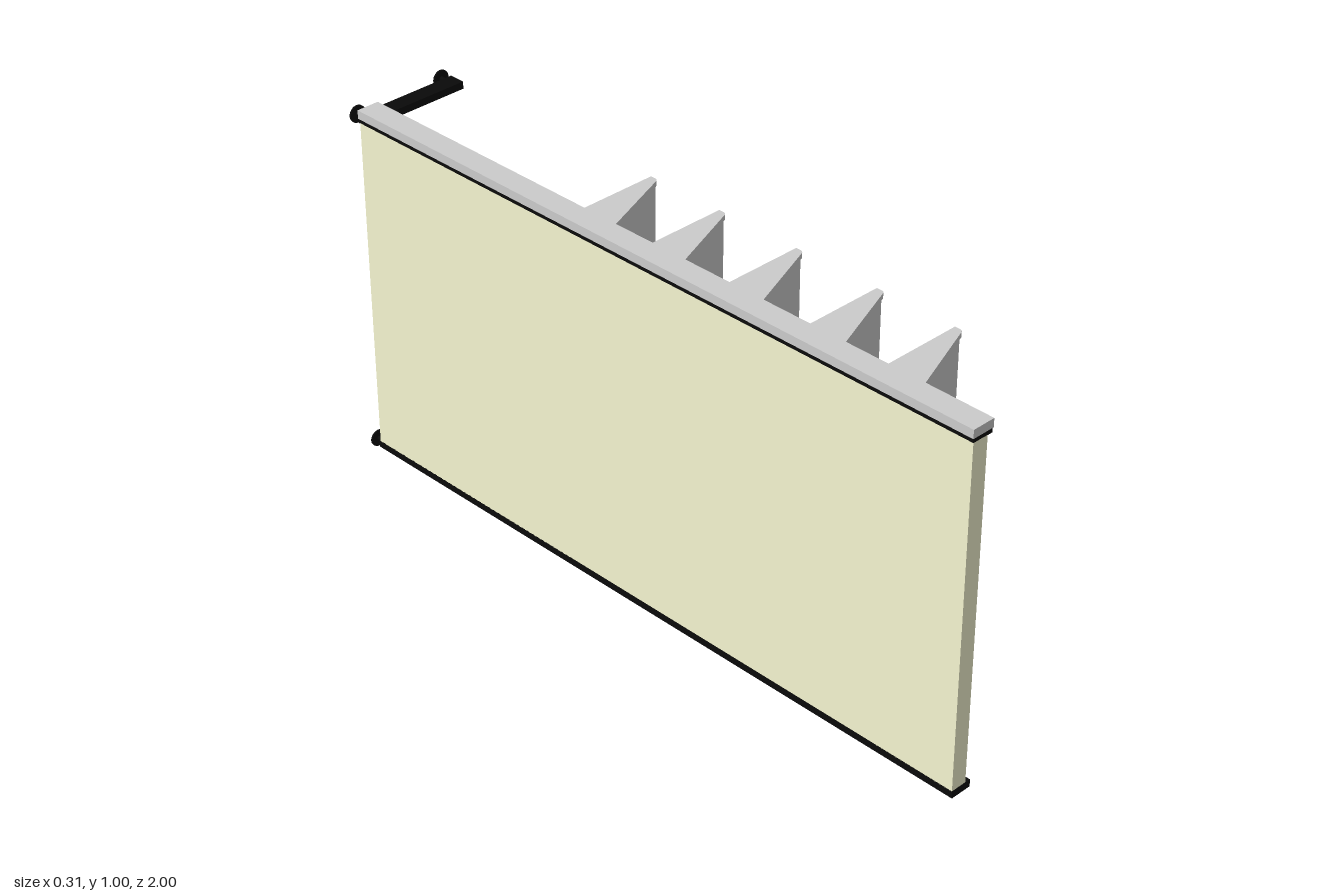
import * as THREE from 'three';

const grey = new THREE.MeshStandardMaterial({ color: 0xcccccc });
const black = new THREE.MeshStandardMaterial({ color: 0x0a0a0a });
const cream = new THREE.MeshStandardMaterial({ color: 0xf5f5d0 });

// Box given by its minimum and maximum corners
function box(name, material, [x0, y0, z0], [x1, y1, z1]) {
  const mesh = new THREE.Mesh(new THREE.BoxGeometry(x1 - x0, y1 - y0, z1 - z0), material);
  mesh.position.set((x0 + x1) / 2, (y0 + y1) / 2, (z0 + z1) / 2);
  mesh.name = name;
  return mesh;
}

// Cylinder lying along z between two depths
function rod(name, radius, x, y, z0, z1) {
  const geometry = new THREE.CylinderGeometry(radius, radius, z1 - z0, 24);
  geometry.rotateX(Math.PI / 2);
  const mesh = new THREE.Mesh(geometry, black);
  mesh.position.set(x, y, (z0 + z1) / 2);
  mesh.name = name;
  return mesh;
}

// Tapered bracket plate with a rounded tip, laid flat and reaching out along +x
function bracketGeometry() {
  const shape = new THREE.Shape();
  shape.moveTo(-0.09, 0);
  shape.lineTo(0.148, 0);
  shape.lineTo(0.148, -0.016);
  shape.quadraticCurveTo(0.147, -0.023, 0.138, -0.026);
  shape.lineTo(-0.09, -0.115);
  shape.closePath();
  const geometry = new THREE.ExtrudeGeometry(shape, { depth: 0.014, bevelEnabled: false, curveSegments: 5 });
  return geometry.rotateX(-Math.PI / 2);
}

// Upright shelf divider held between two brackets
function createDivider(z, bracket) {
  const divider = new THREE.Group();
  divider.name = 'divider';
  divider.add(box('dividerSheet', grey, [-0.09, 0.03, 0.004], [0.145, 0.97, 0.017]));
  for (const [name, y] of [['lowerBracket', 0.02], ['upperBracket', 0.966]]) {
    const mesh = new THREE.Mesh(bracket, grey);
    mesh.position.y = y;
    mesh.name = name;
    divider.add(mesh);
  }
  divider.position.z = z;
  return divider;
}

export function createModel() {
  const model = new THREE.Group();
  model.name = 'dividerPanel';

  // Main panel with rails and top cap
  model.add(
    box('panel', cream, [-0.15, 0.034, -0.97], [-0.105, 0.964, 0.999]),
    box('lowerRail', black, [-0.15, 0.015, -0.975], [-0.09, 0.035, 1]),
    box('upperRail', black, [-0.15, 0.963, -0.975], [-0.09, 0.985, 0.999]),
    box('topCap', grey, [-0.152, 0.975, -0.975], [-0.088, 0.998, 1])
  );

  // Rear arms with round mounting feet
  for (const y of [0.025, 0.975]) {
    const arm = new THREE.Group();
    arm.name = y < 0.5 ? 'lowerArm' : 'upperArm';
    arm.add(box('armBar', black, [-0.092, y - 0.01, -0.975], [0.148, y + 0.01, -0.93]));
    for (const x of [-0.135, 0.133]) {
      arm.add(rod('footStem', 0.006, x, y, -0.996, -0.97));
      arm.add(rod('footDisc', 0.023, x, y - (y > 0.5 ? 0.001 : 0), -1, -0.995));
    }
    model.add(arm);
  }

  // Row of dividers
  const bracket = bracketGeometry();
  for (const z of [-0.26, -0.034, 0.211, 0.458, 0.687]) model.add(createDivider(z, bracket));

  return model;
}
